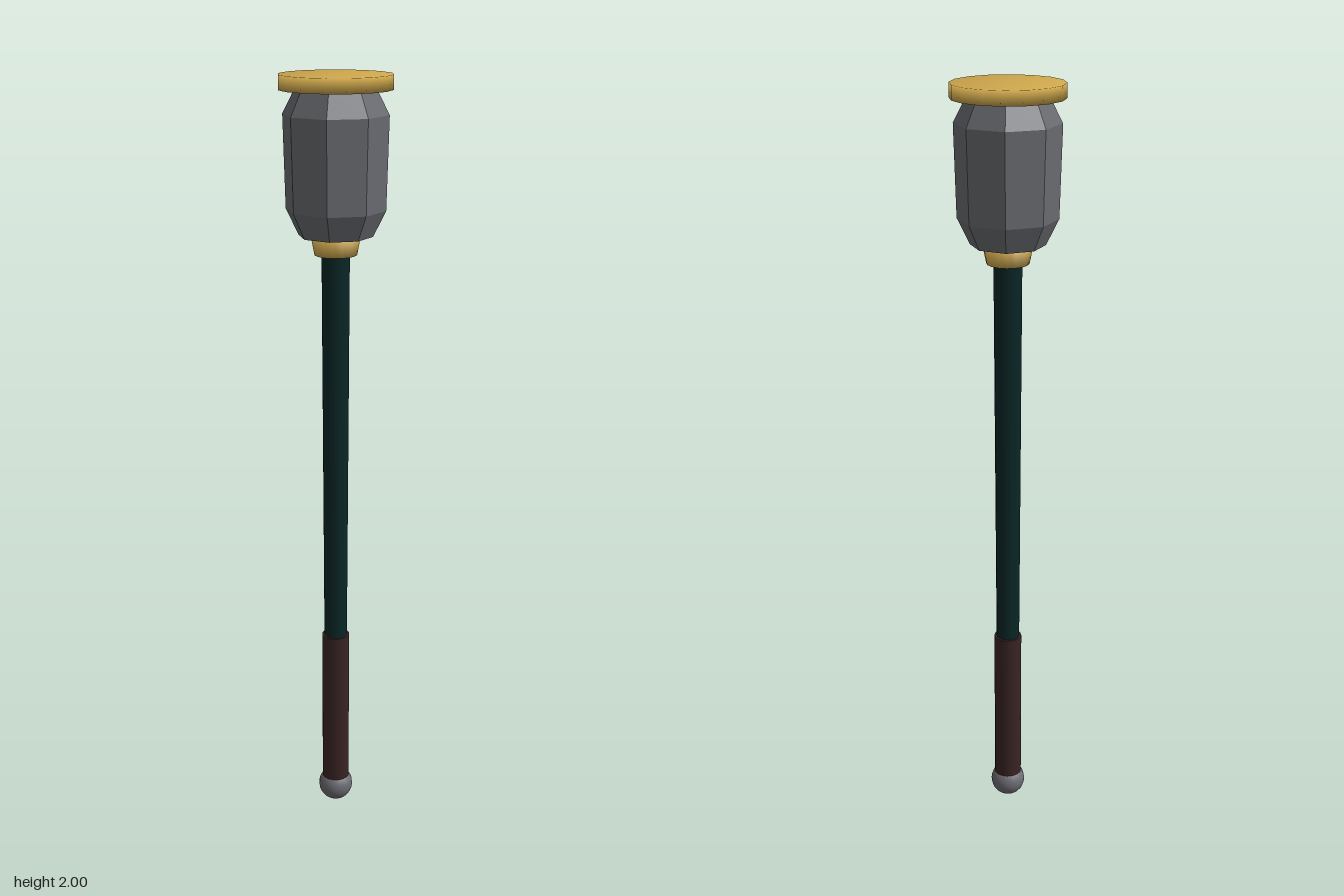
import * as THREE from 'three';

const material = (name, color, flatShading = false) => {
  const m = new THREE.MeshStandardMaterial({ color, flatShading });
  m.name = name;
  return m;
};

export function createModel() {
  const group = new THREE.Group();
  group.name = 'mace';

  const gold = material('gold', 0xcfa84d);
  const stone = material('stone grey', 0x696b70, true);
  const steel = material('steel grey', 0x6c6c73);
  const wood = material('dark teal', 0x0a2626);
  const leather = material('dark brown leather', 0x3a2424);

  // Turned part from [radius, height] pairs, listed from bottom to top
  const turned = (name, profile, sides, mat) => {
    const points = profile.map(([r, y]) => new THREE.Vector2(r, y));
    const mesh = new THREE.Mesh(new THREE.LatheGeometry(points, sides), mat);
    mesh.name = name;
    group.add(mesh);
    return mesh;
  };

  // Straight round part with flat ends
  const rod = (name, rTop, rBottom, y0, y1, mat) => {
    const mesh = new THREE.Mesh(new THREE.CylinderGeometry(rTop, rBottom, y1 - y0, 16), mat);
    mesh.position.y = (y0 + y1) / 2;
    mesh.name = name;
    group.add(mesh);
    return mesh;
  };

  // Pommel ball
  const pommel = new THREE.Mesh(new THREE.SphereGeometry(0.047, 16, 12), steel);
  pommel.position.y = 0.047;
  pommel.name = 'pommel';
  group.add(pommel);

  // Handle
  rod('grip', 0.037, 0.037, 0.075, 0.515, leather);
  rod('shaft', 0.036, 0.031, 0.5, 1.58, wood);

  // Head: collar, faceted block and top disc with softened rims
  turned('collar', [[0, 1.563], [0.054, 1.563], [0.064, 1.613], [0, 1.613]], 16, gold);
  turned('head', [[0, 1.61], [0.094, 1.61], [0.126, 1.675], [0.132, 1.905], [0.1, 1.967], [0, 1.967]], 8, stone);
  turned('topDisc', [[0, 1.964], [0.141, 1.964], [0.141, 2], [0, 2]], 16, gold);

  return group;
}
